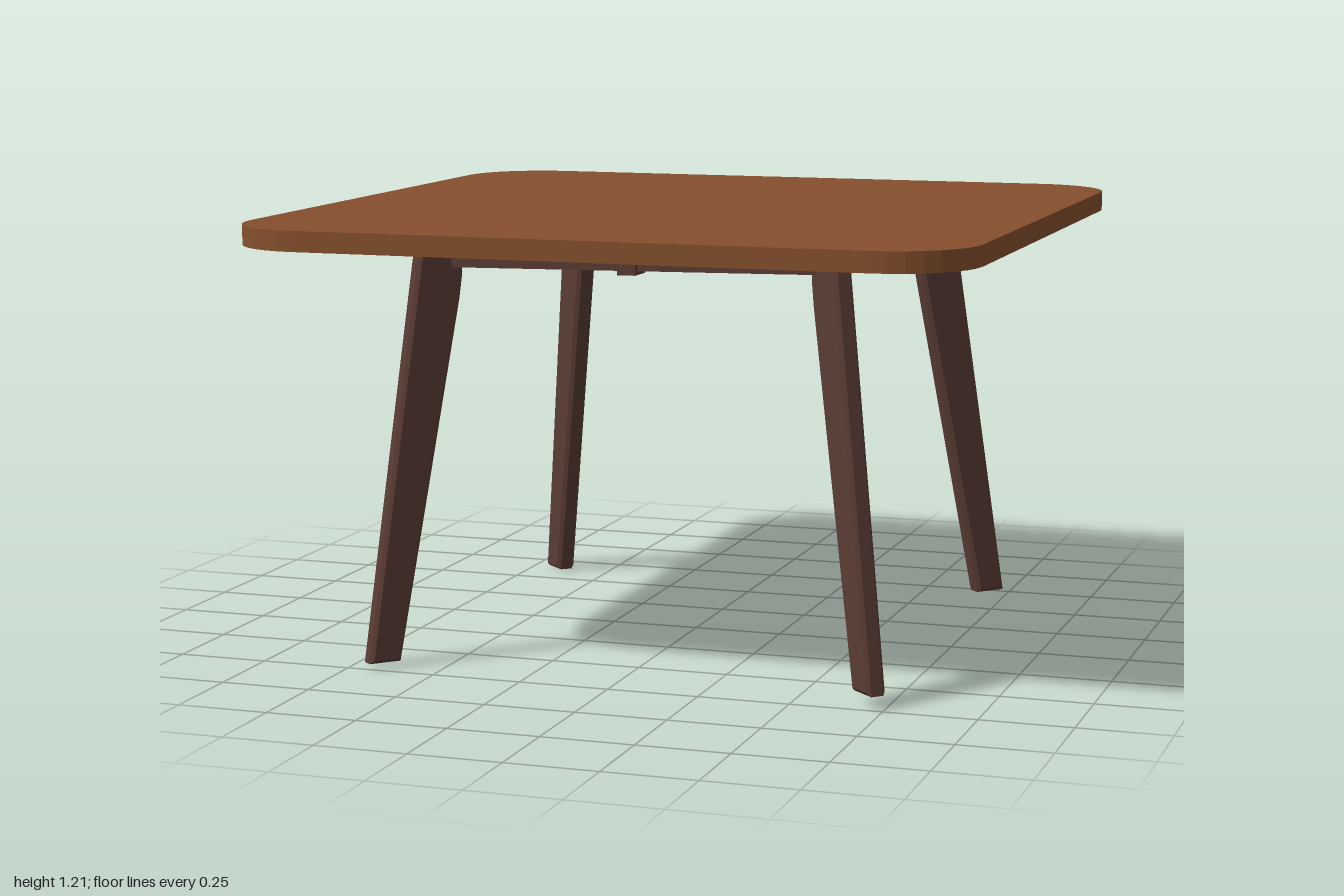
import * as THREE from 'three';

const TOP_Y = 1.16; // underside of the tabletop

function part(name, geometry, material, parent) {
  const mesh = new THREE.Mesh(geometry, material);
  mesh.name = name;
  parent.add(mesh);
  return mesh;
}

// Square slab with faceted round corners
function tabletopGeometry(half, radius, thickness) {
  const shape = new THREE.Shape();
  const c = half - radius;
  [[c, c], [-c, c], [-c, -c], [c, -c]].forEach(([x, y], i) => {
    shape.absarc(x, y, radius, i * Math.PI / 2, (i + 1) * Math.PI / 2, false);
  });
  const geometry = new THREE.ExtrudeGeometry(shape, { depth: thickness, bevelEnabled: false, curveSegments: 4 });
  return geometry.rotateX(-Math.PI / 2);
}

// Tapered, splayed plank with chamfered edges, drawn outward along x
function legGeometry(thickness) {
  const bevel = 0.01;
  const points = [[0.835, 1.165], [0.725, 1.165], [0.715, 1.07], [0.725, 1.0], [0.922, 0.018], [1.012, 0.018]];
  const shape = new THREE.Shape(points.map(([r, y]) => new THREE.Vector2(r, y - TOP_Y)));
  const geometry = new THREE.ExtrudeGeometry(shape, {
    depth: thickness - 2 * bevel, bevelEnabled: true, bevelSegments: 1,
    bevelSize: bevel, bevelThickness: bevel, bevelOffset: -bevel,
  });
  return geometry.translate(0, 0, bevel - thickness / 2);
}

export function createModel() {
  const model = new THREE.Group();
  model.name = 'table';

  const topWood = new THREE.MeshStandardMaterial({ color: 0x85502d });
  topWood.name = 'warm brown wood';
  const baseWood = new THREE.MeshStandardMaterial({ color: 0x5a3c34 });
  baseWood.name = 'dark brown wood';

  const top = part('tabletop', tabletopGeometry(1, 0.23, 0.055), topWood, model);
  top.position.y = TOP_Y;

  // Base sits very slightly askew under the top
  const base = new THREE.Group();
  base.name = 'base';
  base.position.set(0, TOP_Y, 0.01);
  base.rotation.set(-0.01, 0, 0.015);
  model.add(base);

  // Diagonal legs and the aprons between them
  const leg = legGeometry(0.055);
  const apron = new THREE.BoxGeometry(1.06, 0.08, 0.04);
  for (let i = 0; i < 4; i++) {
    part('leg', leg, baseWood, base).rotation.y = Math.PI / 4 + i * Math.PI / 2;
    const side = new THREE.Group();
    side.name = 'apronSide';
    side.rotation.y = i * Math.PI / 2;
    base.add(side);
    part('apron', apron, baseWood, side).position.set(0, -0.035, 0.53);
  }

  // Centre stretcher running front to back, with a joint block at each end
  part('stretcher', new THREE.BoxGeometry(0.045, 0.07, 1.04), baseWood, base).position.set(-0.005, -0.035, 0);
  for (const s of [1, -1]) {
    part('stretcherJoint', new THREE.BoxGeometry(0.05, 0.09, 0.08), baseWood, base).position.set(-0.005, -0.04, s * 0.53);
  }
  return model;
}
